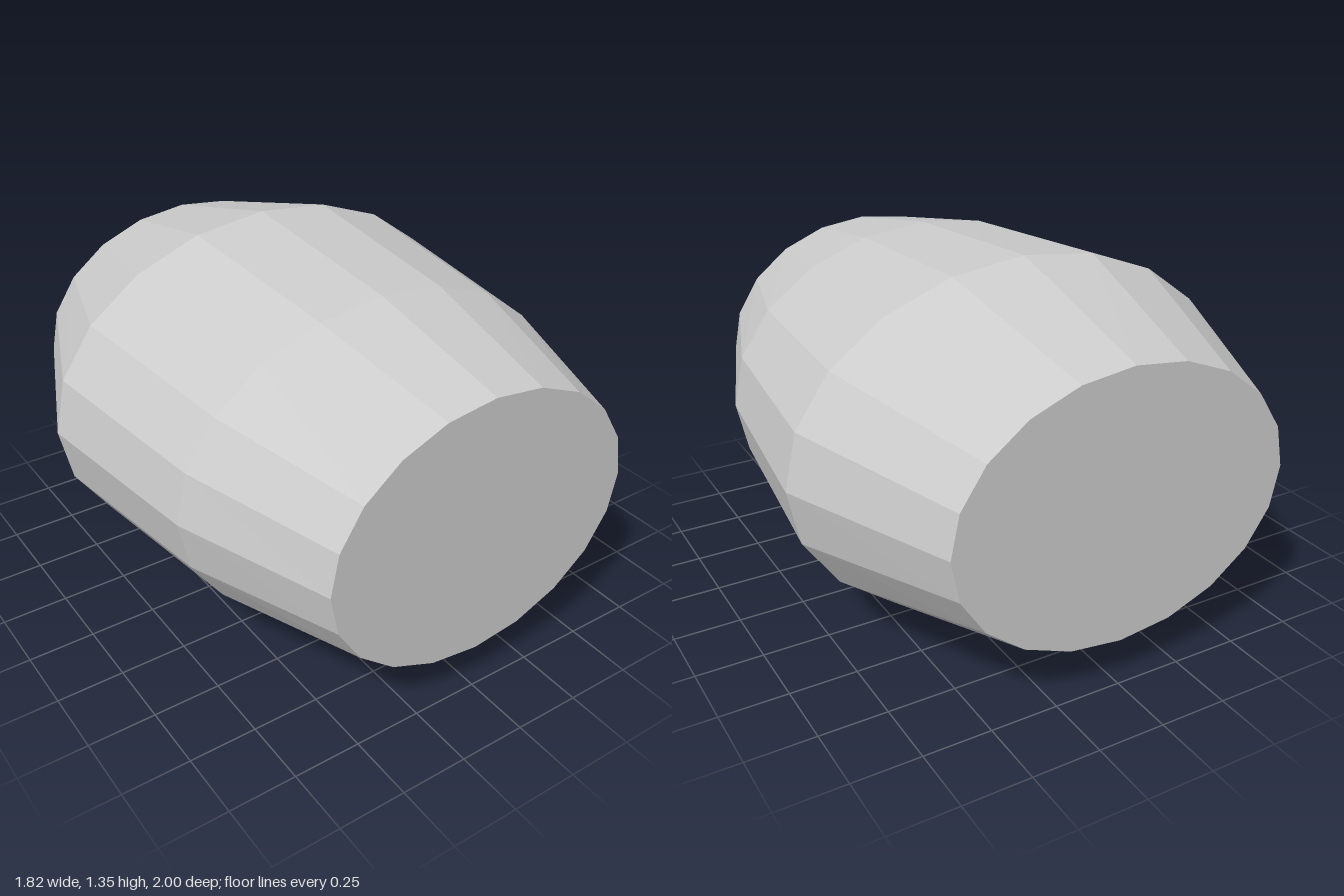
import * as THREE from 'three';

// Cross-sections from front to back: z position, half width, half height
const SECTIONS = [
  [1, 0.617, 0.5],
  [0.41, 0.82, 0.615],
  [-0.35, 0.91, 0.675],
  [-1, 0.645, 0.498],
];
const CENTRE_Y = 0.678;

export function createModel() {
  const group = new THREE.Group();
  group.name = 'barrel';

  // Closed 20-sided cylinder lying along z, each ring fitted to its oval section
  const geometry = new THREE.CylinderGeometry(1, 1, 2, 20, SECTIONS.length - 1);
  geometry.rotateX(Math.PI / 2);
  const pos = geometry.attributes.position;
  for (let i = 0; i < pos.count; i++) {
    const ring = Math.round((1 - pos.getZ(i)) / 2 * (SECTIONS.length - 1));
    const [z, rx, ry] = SECTIONS[ring];
    pos.setXYZ(i, pos.getX(i) * rx, CENTRE_Y + pos.getY(i) * ry, z);
  }
  geometry.computeVertexNormals();

  const material = new THREE.MeshStandardMaterial({ color: 0xcccccc, flatShading: true });
  const body = new THREE.Mesh(geometry, material);
  body.name = 'barrelBody';
  group.add(body);
  return group;
}
